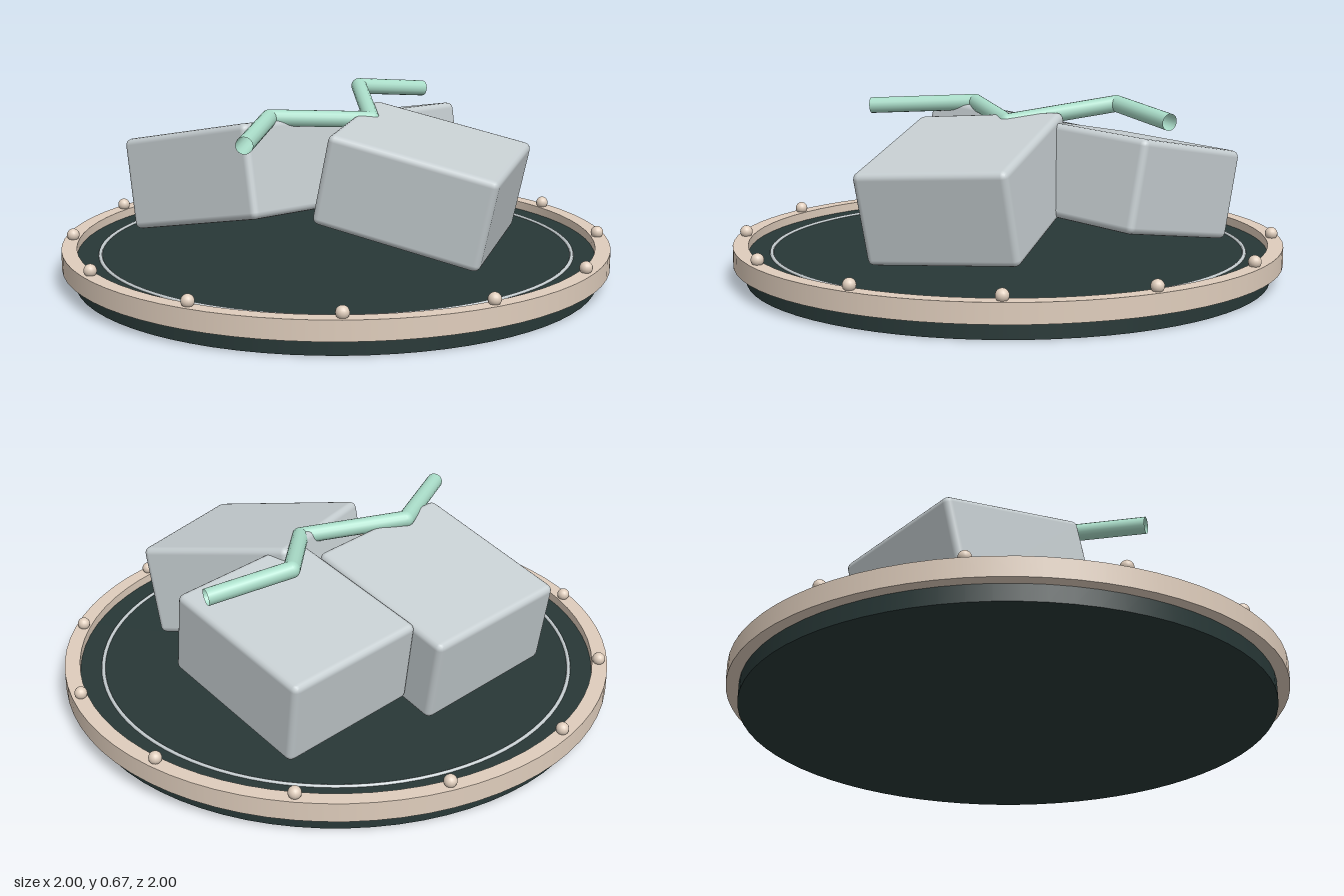
import * as THREE from 'three';
import { RoundedBoxGeometry } from 'three/addons/geometries/RoundedBoxGeometry.js';

const material = (name, color, side = THREE.FrontSide) => {
  const m = new THREE.MeshStandardMaterial({ color, side });
  m.name = name;
  return m;
};

export function createModel() {
  const group = new THREE.Group();
  group.name = 'plateWithBlocks';

  const darkGreen = material('dark green', 0x283837);
  const tan = material('tan', 0xdfcdbc);
  const stone = material('stone grey', 0xc6ced1);
  const mint = material('mint', 0xaaddc9, THREE.DoubleSide);

  const add = (name, geometry, mat, parent = group) => {
    const mesh = new THREE.Mesh(geometry, mat);
    mesh.name = name;
    parent.add(mesh);
    return mesh;
  };

  // Round base, its top sunk below the rim
  const baseTop = 0.098;
  add('base', new THREE.CylinderGeometry(0.955, 0.955, baseTop, 72), darkGreen).position.y = baseTop / 2;

  // Raised rim with a square section
  const section = [[0.945, 0.06], [1, 0.06], [1, 0.13], [0.945, 0.13], [0.945, 0.06]];
  for (let i = 0; i < 4; i++) {
    const wall = [section[i], section[i + 1]].map(([r, y]) => new THREE.Vector2(r, y));
    add('rim', new THREE.LatheGeometry(wall, 72), tan);
  }

  // Studs around the rim
  for (let i = 0; i < 12; i++) {
    const a = (i / 12) * Math.PI * 2;
    add('stud', new THREE.SphereGeometry(0.023, 16, 12), tan)
      .position.set(0.968 * Math.sin(a), 0.145, 0.968 * Math.cos(a));
  }

  // Thin inlaid circle
  const inlay = add('inlayRing', new THREE.TorusGeometry(0.862, 0.007, 8, 96), stone);
  inlay.rotation.x = Math.PI / 2;
  inlay.position.y = baseTop;

  // Three tilted blocks: size, position, rotation
  const blocks = [
    ['leftBlock', [0.62, 0.335, 0.562], [-0.345, 0.365, 0.106], [-0.07, -0.19, 0.2]],
    ['rightBlock', [0.615, 0.335, 0.555], [0.337, 0.366, -0.039], [0.07, 0.18, -0.23]],
    ['backBlock', [0.61, 0.325, 0.54], [-0.137, 0.36, -0.414], [-0.06, -0.17, 0.17]],
  ];
  for (const [name, size, position, rotation] of blocks) {
    const block = add(name, new RoundedBoxGeometry(...size, 2, 0.024), stone);
    block.position.set(...position);
    block.rotation.set(...rotation);
  }

  // Zigzag open tube lying over the blocks
  const rod = new THREE.Group();
  rod.name = 'zigzagRod';
  group.add(rod);
  const radius = 0.03;
  const points = [
    [0.03, 0.6, -0.66], [-0.11, 0.635, -0.385], [0.112, 0.572, -0.065],
    [-0.143, 0.602, 0.23], [-0.005, 0.58, 0.617],
  ].map((p) => new THREE.Vector3(...p));
  for (let i = 0; i < points.length - 1; i++) {
    const dir = points[i + 1].clone().sub(points[i]);
    const tube = new THREE.CylinderGeometry(radius, radius, dir.length(), 16, 1, true);
    const segment = add('rodSegment', tube, mint, rod);
    segment.position.copy(points[i]).lerp(points[i + 1], 0.5);
    segment.quaternion.setFromUnitVectors(new THREE.Vector3(0, 1, 0), dir.normalize());
    if (i > 0) add('rodJoint', new THREE.SphereGeometry(radius, 16, 12), mint, rod).position.copy(points[i]);
  }

  return group;
}
